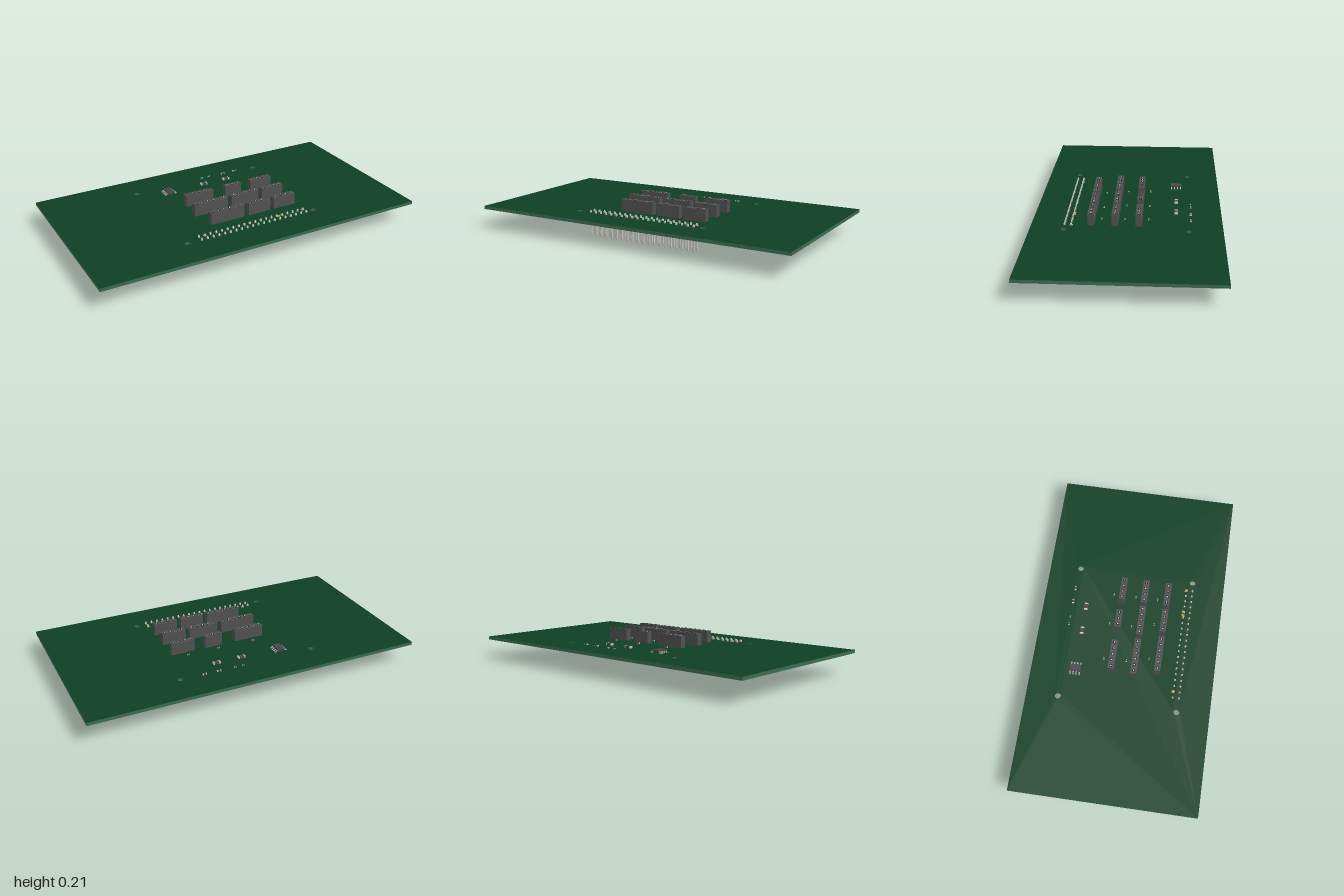
import * as THREE from 'three';

const mat = (name, color, extra = {}) => Object.assign(new THREE.MeshStandardMaterial({ color }), { name, ...extra });

export function createModel() {
  const M = {
    mask: mat('solder mask green', 0x0e3f24),
    edge: mat('board edge green', 0x3a6b4e),
    plastic: mat('header plastic grey', 0x505050),
    dark: mat('dark recess', 0x1c1a1a),
    metal: mat('pin metal', 0xc4c2be),
    chip: mat('chip body', 0x4a4446),
    gold: mat('gold pad', 0xb8963c),
  };
  const root = new THREE.Group();
  root.name = 'circuitBoard';
  const TOP = 0.14, BOTTOM = 0.121, PITCH = 0.0363;

  const group = (name, x = 0, z = 0, parent = root) => {
    const g = new THREE.Group();
    g.name = name;
    g.position.set(x, 0, z);
    parent.add(g);
    return g;
  };
  // Box given by centre x/z, bottom and top y, width and depth
  const box = (parent, name, material, x, z, y0, y1, w, d) => {
    const m = new THREE.Mesh(new THREE.BoxGeometry(w, y1 - y0, d), material);
    m.name = name;
    m.position.set(x, (y0 + y1) / 2, z);
    parent.add(m);
    return m;
  };
  // Square pin with tapered tips
  const pin = (parent, x, z, y0, y1, w = 0.0095) => {
    const tip = 0.006;
    box(parent, 'pinShaft', M.metal, x, z, y0 + tip, y1 - tip, w, w);
    for (const s of [-1, 1]) {
      const geo = new THREE.CylinderGeometry(w * 0.35, w * Math.SQRT1_2, tip, 4, 1).toNonIndexed();
      geo.rotateY(Math.PI / 4);
      geo.computeVertexNormals();
      if (s < 0) geo.rotateX(Math.PI);
      const m = new THREE.Mesh(geo, M.metal);
      m.name = 'pinTip';
      m.position.set(x, s > 0 ? y1 - tip / 2 : y0 + tip / 2, z);
      parent.add(m);
    }
  };

  // Board with four mounting holes
  const shape = new THREE.Shape([[-1, -0.54], [1, -0.54], [1, 0.54], [-1, 0.54]].map(p => new THREE.Vector2(...p)));
  for (const x of [-0.416, 0.413]) for (const z of [-0.353, 0.347]) {
    shape.holes.push(new THREE.Path().absarc(x, -z, 0.018, 0, Math.PI * 2, true));
  }
  const boardGeo = new THREE.ExtrudeGeometry(shape, { depth: TOP - BOTTOM, bevelEnabled: false, curveSegments: 16 });
  boardGeo.rotateX(-Math.PI / 2);
  const board = new THREE.Mesh(boardGeo, [M.mask, M.edge]);
  board.name = 'board';
  board.position.y = BOTTOM;
  root.add(board);

  // Long two-row pin header under the board
  const long = group('bottomHeader', 0.011, 0.333);
  box(long, 'headerBody', M.plastic, 0, 0, 0.087, BOTTOM, PITCH * 20, 0.0726);
  for (let i = 0; i < 20; i++) for (const z of [-0.0182, 0.0182]) pin(long, (i - 9.5) * PITCH, z, 0, 0.155);
  for (const x of [-0.296, 0.19, 0.213, 0.355]) box(root, 'goldPad', M.gold, x, 0.313, TOP, TOP + 0.002, 0.016, 0.018);

  // Socket headers on top: [x, z, number of ways]
  const sockets = [
    [-0.139, -0.068, 5], [0.091, -0.068, 3], [0.286, -0.068, 4],
    [-0.132, 0.067, 6], [0.097, 0.067, 5], [0.286, 0.067, 4],
    [-0.096, 0.203, 6], [0.115, 0.203, 4], [0.286, 0.203, 4],
  ];
  for (const [x, z, n] of sockets) {
    const g = group('socketHeader', x, z);
    box(g, 'socketBody', M.plastic, 0, 0, TOP, 0.211, n * PITCH, 0.036);
    for (let i = 0; i < n; i++) {
      const px = (i - (n - 1) / 2) * PITCH;
      box(g, 'socketOpening', M.dark, px, 0, 0.21, 0.2118, 0.016, 0.016);
      box(g, 'socketContact', M.metal, px, 0, 0.21, 0.2126, 0.008, 0.008);
      pin(g, px, 0, 0.097, TOP, 0.009);
    }
  }

  // Surface-mount parts: dark body between two metal ends
  const smd = (name, x, z, w, d, h, end) => {
    const g = group(name, x, z);
    box(g, 'partBody', M.chip, 0, 0, TOP, TOP + h * 0.95, w - 2 * end, d * 0.98);
    for (const s of [-1, 1]) box(g, 'partEnd', M.metal, s * (w - end) / 2, 0, TOP, TOP + h, end, d);
  };
  const small = [
    [-0.15, -0.121], [0.075, -0.121], [0.268, -0.121],
    [-0.146, 0.014], [0.075, 0.014], [0.268, 0.014],
    [-0.116, 0.147], [0.104, 0.147], [0.268, 0.147],
    [0.036, -0.364], [0.086, -0.364],
  ];
  for (const [x, z] of small) smd('smallResistor', x, z, 0.0145, 0.0072, 0.006, 0.0035);
  for (const x of [0.185, 0.273]) smd('mediumResistor', x, -0.362, 0.024, 0.0125, 0.007, 0.005);
  for (const x of [0.005, 0.162]) smd('largeCapacitor', x, -0.278, 0.043, 0.022, 0.012, 0.008);

  // Eight-lead chip with gull-wing leads
  const ic = group('chip', -0.237, -0.278);
  box(ic, 'chipBody', M.chip, 0, 0, TOP + 0.003, 0.158, 0.044, 0.066);
  for (const s of [-1, 1]) for (let i = 0; i < 4; i++) {
    const z = (i - 1.5) * 0.0182;
    box(ic, 'leadShoulder', M.metal, s * 0.025, z, 0.147, 0.15, 0.008, 0.006);
    box(ic, 'leadLeg', M.metal, s * 0.029, z, TOP, 0.15, 0.003, 0.006);
    box(ic, 'leadFoot', M.metal, s * 0.034, z, TOP, TOP + 0.003, 0.01, 0.006);
  }
  return root;
}
